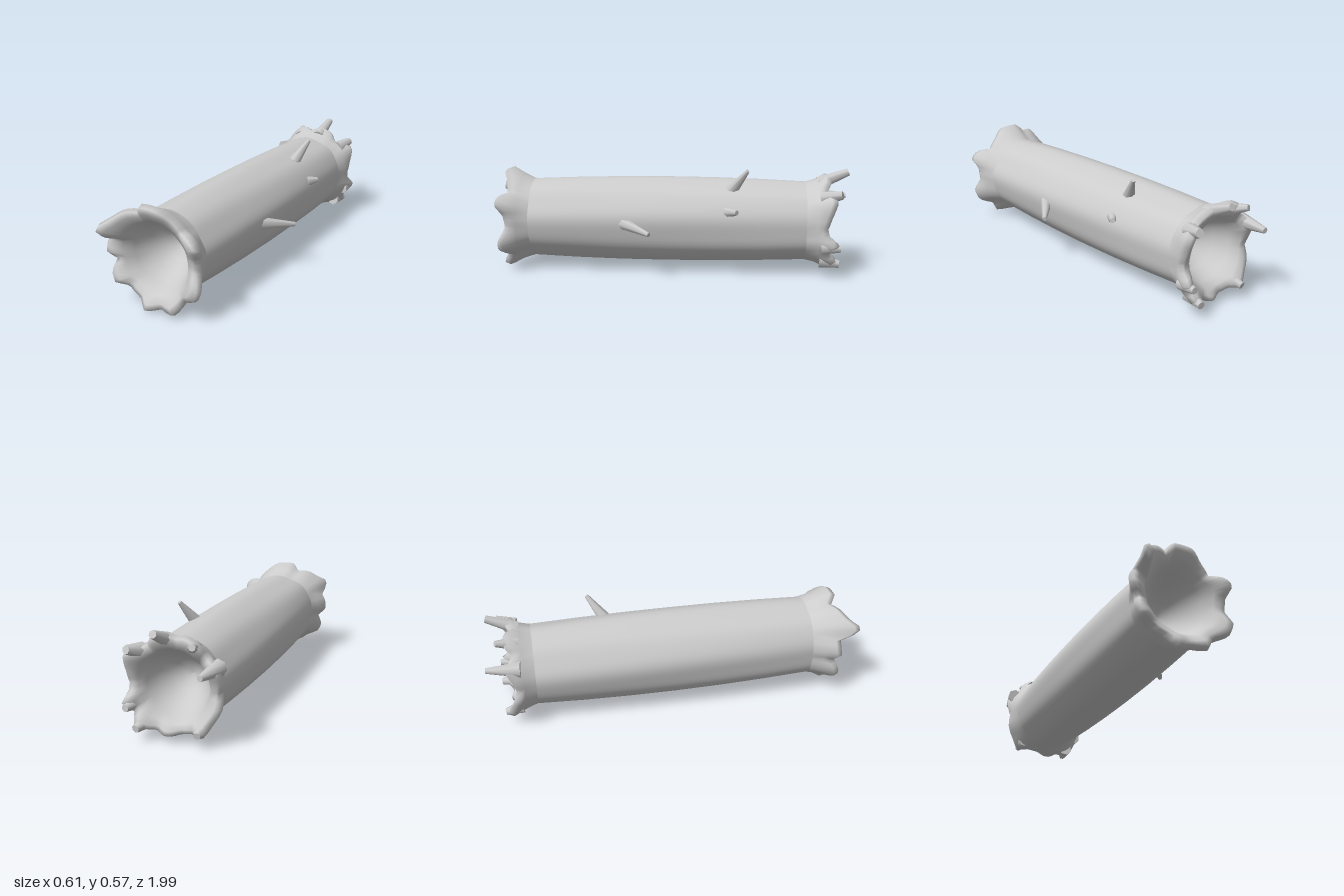
import * as THREE from 'three';

const CX = -0.035, CY = 0.275, SEG = 72;

// Jagged rims as [angle in degrees, radius, distance along the log]
const frontRim = [
  [0, 0.25, 0.87], [12, 0.256, 0.88], [22, 0.296, 0.92], [33, 0.28, 0.91], [45, 0.235, 0.87],
  [63, 0.253, 0.88], [78, 0.275, 0.91], [100, 0.279, 0.91], [110, 0.25, 0.88], [122, 0.274, 0.91],
  [137, 0.28, 0.95], [147, 0.295, 1], [153, 0.277, 0.99], [160, 0.265, 0.89], [168, 0.275, 0.89],
  [180, 0.27, 0.9], [190, 0.235, 0.87], [203, 0.267, 0.9], [215, 0.27, 0.91], [227, 0.24, 0.87],
  [249, 0.24, 0.88], [261, 0.278, 0.91], [278, 0.255, 0.88], [295, 0.282, 0.91], [312, 0.248, 0.87],
  [328, 0.29, 0.91], [339, 0.288, 0.91], [354, 0.25, 0.87]
];
const backRim = [
  [0, 0.235, 0.86], [15, 0.25, 0.88], [33, 0.285, 0.91], [45, 0.255, 0.88], [55, 0.24, 0.86],
  [66, 0.26, 0.88], [82, 0.265, 0.89], [95, 0.245, 0.86], [108, 0.268, 0.89], [122, 0.265, 0.9],
  [135, 0.24, 0.86], [155, 0.26, 0.9], [170, 0.25, 0.87], [184, 0.235, 0.85], [200, 0.25, 0.87],
  [218, 0.25, 0.89], [235, 0.268, 0.91], [246, 0.24, 0.87], [262, 0.235, 0.86], [278, 0.25, 0.89],
  [292, 0.24, 0.87], [312, 0.277, 0.92], [325, 0.255, 0.87], [340, 0.265, 0.92], [350, 0.24, 0.87]
];

// Radius and reach of a rim at any angle
function sample(rim, deg) {
  for (let i = 0; i < rim.length; i++) {
    const a = rim[i], b = rim[(i + 1) % rim.length];
    const end = i === rim.length - 1 ? 360 : b[0];
    if (deg >= a[0] && deg < end) {
      const t = (deg - a[0]) / (end - a[0]);
      return [a[1] + (b[1] - a[1]) * t, a[2] + (b[2] - a[2]) * t];
    }
  }
  return [rim[0][1], rim[0][2]];
}

// Closed rings joined into a skin; ring(i, degrees) returns [radius, z]
function loft(count, ring) {
  const pos = [], index = [];
  for (let i = 0; i < count; i++) {
    for (let j = 0; j < SEG; j++) {
      const deg = j * 360 / SEG, a = deg * Math.PI / 180;
      const [r, z] = ring(i, deg);
      pos.push(CX + r * Math.cos(a), CY + r * Math.sin(a), z);
      if (i < count - 1) {
        const k = (j + 1) % SEG, p = i * SEG, q = p + SEG;
        index.push(p + j, q + k, q + j, p + j, p + k, q + k);
      }
    }
  }
  const g = new THREE.BufferGeometry();
  g.setAttribute('position', new THREE.Float32BufferAttribute(pos, 3));
  g.setIndex(index);
  g.computeVertexNormals();
  return g;
}

export function createModel() {
  const group = new THREE.Group();
  const material = new THREE.MeshStandardMaterial({ color: 0xcccccc, side: THREE.DoubleSide });
  const add = (name, geometry) => {
    const mesh = new THREE.Mesh(geometry, material);
    mesh.name = name;
    group.add(mesh);
    return mesh;
  };

  // Trunk: slightly swollen, gently rippled bark
  const trunkZ = [0.75, 0.5, 0.25, 0, -0.25, -0.5, -0.75];
  const bark = (deg, z) => {
    const a = deg * Math.PI / 180;
    return 0.214 + 0.017 * (1 - (z / 0.75) ** 2) + 0.003 * Math.sin(5 * a + z * 2) + 0.002 * Math.sin(9 * a);
  };
  add('trunk', loft(trunkZ.length, (i, deg) => [bark(deg, trunkZ[i]), trunkZ[i]]));

  // Ends: flare out to a jagged rim, roll over the lip, then sink into a bowl
  function logEnd(name, rim, side) {
    const bowl = [[0.165, 0.8], [0.13, 0.72], [0.08, 0.66], [0.035, 0.635], [0, 0.63]];
    const geometry = loft(6 + bowl.length, (i, deg) => {
      const [r, z] = sample(rim, deg), lobe = r - 0.26;
      const start = bark(deg, side * 0.75), lip = 0.187 + lobe * 0.3;
      const steps = [
        [start, 0.75],
        [start + (r - start) * 0.4, 0.81],
        [r, z - 0.03],
        [r - 0.012, z],
        [(r + lip) / 2, z - 0.005],
        [lip, 0.86 + (z - 0.88) * 0.3],
        ...bowl
      ];
      return [steps[i][0], side * steps[i][1]];
    });
    if (side > 0) {
      geometry.setIndex(Array.from(geometry.index.array).reverse());
      geometry.computeVertexNormals();
    }
    add(name, geometry);
  }
  logEnd('frontEnd', frontRim, 1);
  logEnd('backEnd', backRim, -1);

  // Broken twigs and splinters: tapered stubs from base to tip
  function stub(name, from, to, r0, r1) {
    const a = new THREE.Vector3(...from), b = new THREE.Vector3(...to);
    const dir = b.clone().sub(a);
    const mesh = add(name, new THREE.CylinderGeometry(r1, r0, dir.length(), 7));
    mesh.position.copy(a).add(b).multiplyScalar(0.5);
    mesh.quaternion.setFromUnitVectors(new THREE.Vector3(0, 1, 0), dir.normalize());
  }
  stub('topTwig', [0.07, 0.455, -0.35], [0.122, 0.57, -0.435], 0.034, 0.011);
  stub('sideTwig', [0.17, 0.285, 0.23], [0.298, 0.253, 0.075], 0.034, 0.012);
  stub('smallKnot', [0.165, 0.355, -0.33], [0.208, 0.36, -0.38], 0.03, 0.014);

  const splinters = [
    [[0, 0.49, -0.82], [0.005, 0.555, -0.975], 0.036, 0.02],
    [[-0.245, 0.385, -0.82], [-0.225, 0.385, -0.995], 0.042, 0.015],
    [[0.13, 0.43, -0.83], [0.165, 0.455, -0.93], 0.04, 0.022],
    [[-0.13, 0.47, -0.83], [-0.165, 0.5, -0.935], 0.036, 0.016],
    [[0.17, 0.17, -0.83], [0.18, 0.17, -0.93], 0.034, 0.018],
    [[0.11, 0.09, -0.83], [0.13, 0.075, -0.93], 0.04, 0.02],
    [[-0.17, 0.1, -0.83], [-0.175, 0.08, -0.92], 0.036, 0.018]
  ];
  for (const [from, to, r0, r1] of splinters) stub('backSplinter', from, to, r0, r1);

  return group;
}
